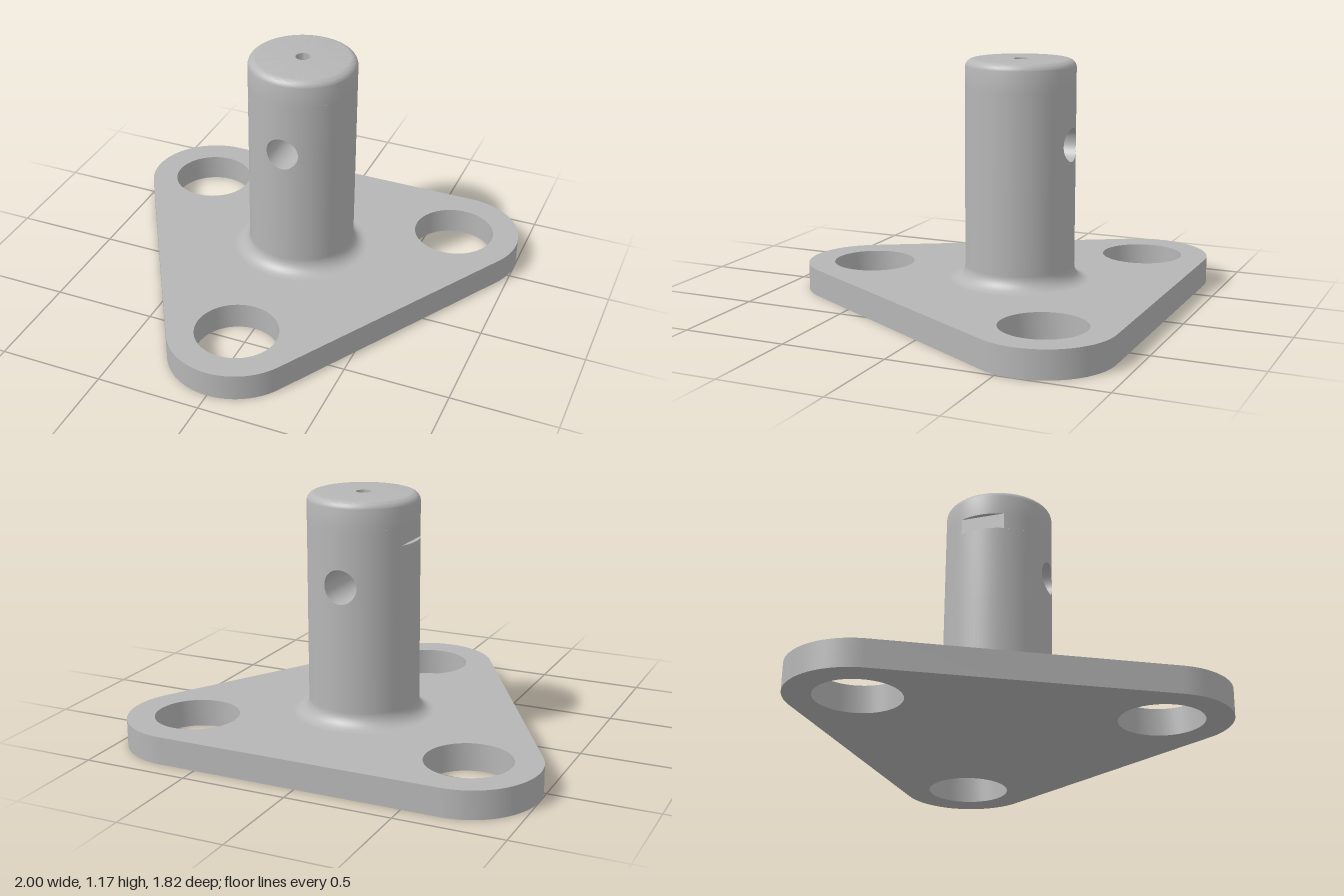
import * as THREE from 'three';
import { toCreasedNormals } from 'three/addons/utils/BufferGeometryUtils.js';

const R = 0.258;                          // shaft radius
const AXIS_Z = -0.195;                    // shaft position
const PLATE_TOP = 0.13, TOP = 1.172;
const HOLE_Y = 0.785, HOLE_R = 0.079;     // cross hole
const BAND_LOW = 0.61, SLOT_LOW = 0.965, SLOT_HIGH = 1.043, SLOT_X = 0.235;

// Surface over a grid; fn(i, j) returns [x, y, z, nx, ny, nz]
function gridSurface(nu, nv, fn) {
  const pos = [], nor = [], idx = [];
  for (let i = 0; i <= nu; i++) for (let j = 0; j <= nv; j++) {
    const p = fn(i, j);
    pos.push(...p.slice(0, 3));
    nor.push(...p.slice(3));
    if (i < nu && j < nv) {
      const a = i * (nv + 1) + j, d = a + nv + 1;
      idx.push(a, a + 1, d + 1, a, d + 1, d);
    }
  }
  const g = new THREE.BufferGeometry();
  g.setAttribute('position', new THREE.Float32BufferAttribute(pos, 3));
  g.setAttribute('normal', new THREE.Float32BufferAttribute(nor, 3));
  g.setIndex(idx);
  return g;
}

// Quarter arc of profile points
function arc(cx, cy, r, from, to, n = 8) {
  return Array.from({ length: n + 1 }, (_, i) => {
    const t = from + (to - from) * i / n;
    return new THREE.Vector2(cx + r * Math.cos(t), cy + r * Math.sin(t));
  });
}

// Triangular plate with round corners and three holes
function plateGeometry() {
  const corners = [[0, 0.585], [-0.676, -0.585], [0.676, -0.585]];
  const shape = new THREE.Shape();
  corners.forEach(([x, z], i) => {
    const start = Math.PI / 6 + i * Math.PI * 2 / 3;
    shape.absarc(x, z, 0.324, start, start + Math.PI * 2 / 3, false);
    const hole = new THREE.Path();
    hole.absarc(x, z, 0.197, 0, Math.PI * 2, true);
    shape.holes.push(hole);
  });
  const g = new THREE.ExtrudeGeometry(shape, { depth: PLATE_TOP, bevelEnabled: false, curveSegments: 32 });
  g.rotateX(Math.PI / 2).translate(0, PLATE_TOP, 0);
  return toCreasedNormals(g, 0.5);
}

// Half of the shaft wall, pierced by the cross hole
function piercedWall() {
  const corners = [[1, -1], [1, 1], [-1, 1], [-1, -1]];
  const steps = [16, 40, 16, 40];
  const rim = [];
  corners.forEach((c, k) => {
    const n = corners[(k + 1) % 4];
    for (let s = 0; s < steps[k]; s++) {
      const f = s / steps[k];
      const u = c[0] + (n[0] - c[0]) * f, v = c[1] + (n[1] - c[1]) * f;
      rim.push([u * Math.PI / 2, v > 0
        ? v * (SLOT_LOW - HOLE_Y) : v * (HOLE_Y - BAND_LOW)]);
    }
  });
  const rows = 12;
  return gridSurface(rim.length, rows, (i, j) => {
    const [ou, ov] = rim[i % rim.length];
    const t = Math.atan2(ov, ou * R);
    const iu = Math.asin(HOLE_R * Math.cos(t) / R), iv = HOLE_R * Math.sin(t);
    const a = iu + (ou - iu) * j / rows, y = iv + (ov - iv) * j / rows;
    return [R * Math.sin(a), HOLE_Y + y, R * Math.cos(a), Math.sin(a), 0, Math.cos(a)];
  });
}

// Inside of the cross hole
function crossHoleWall() {
  return gridSurface(64, 2, (i, j) => {
    const t = i / 64 * Math.PI * 2, c = Math.cos(t), s = Math.sin(t);
    const x = HOLE_R * c;
    return [x, HOLE_Y + HOLE_R * s, (j - 1) * Math.sqrt(R * R - x * x), -c, -s, 0];
  });
}

export function createModel() {
  const model = new THREE.Group();
  const grey = new THREE.MeshStandardMaterial({ color: 0xb6b6b6 });
  grey.name = 'grey';
  const add = (parent, name, geometry) => {
    const m = new THREE.Mesh(geometry, grey);
    m.name = name;
    parent.add(m);
    return m;
  };

  add(model, 'basePlate', plateGeometry());

  const shaft = new THREE.Group();
  shaft.name = 'shaft';
  shaft.position.z = AXIS_Z;
  model.add(shaft);

  // Lower shaft with a fillet onto the plate
  const fillet = 0.07;
  add(shaft, 'lowerShaft', new THREE.LatheGeometry([
    ...arc(R + fillet, PLATE_TOP + fillet, fillet, -Math.PI / 2, -Math.PI, 10),
    new THREE.Vector2(R, BAND_LOW)], 80));

  // Middle shaft with the cross hole
  add(shaft, 'frontWall', piercedWall());
  add(shaft, 'backWall', piercedWall()).rotation.y = Math.PI;
  add(shaft, 'crossHole', crossHoleWall());

  // Slot cut into one side
  const half = Math.acos(SLOT_X / R), slotH = SLOT_HIGH - SLOT_LOW, slotMid = (SLOT_HIGH + SLOT_LOW) / 2;
  add(shaft, 'slotBand', new THREE.CylinderGeometry(R, R, slotH, 72, 1, true,
    Math.PI * 1.5 + half, Math.PI * 2 - 2 * half).translate(0, slotMid, 0));
  add(shaft, 'slotBack', new THREE.PlaneGeometry(2 * R * Math.sin(half), slotH)
    .rotateY(-Math.PI / 2).translate(-SLOT_X, slotMid, 0));
  const segment = new THREE.Shape();
  segment.absarc(0, 0, R, Math.PI - half, Math.PI + half, false);
  for (const [name, y, turn] of [['slotFloor', SLOT_LOW, -1], ['slotCeiling', SLOT_HIGH, 1]]) {
    add(shaft, name, new THREE.ShapeGeometry(segment, 16).rotateX(turn * Math.PI / 2).translate(0, y, 0));
  }

  // Rounded head with a small centre hole
  const round = 0.04, pin = 0.035;
  add(shaft, 'head', toCreasedNormals(new THREE.LatheGeometry([
    new THREE.Vector2(R, SLOT_HIGH),
    ...arc(R - round, TOP - round, round, 0, Math.PI / 2),
    new THREE.Vector2(pin, TOP),
    new THREE.Vector2(pin, TOP - 0.1),
    new THREE.Vector2(0, TOP - 0.1)], 80), 0.5));

  return model;
}
